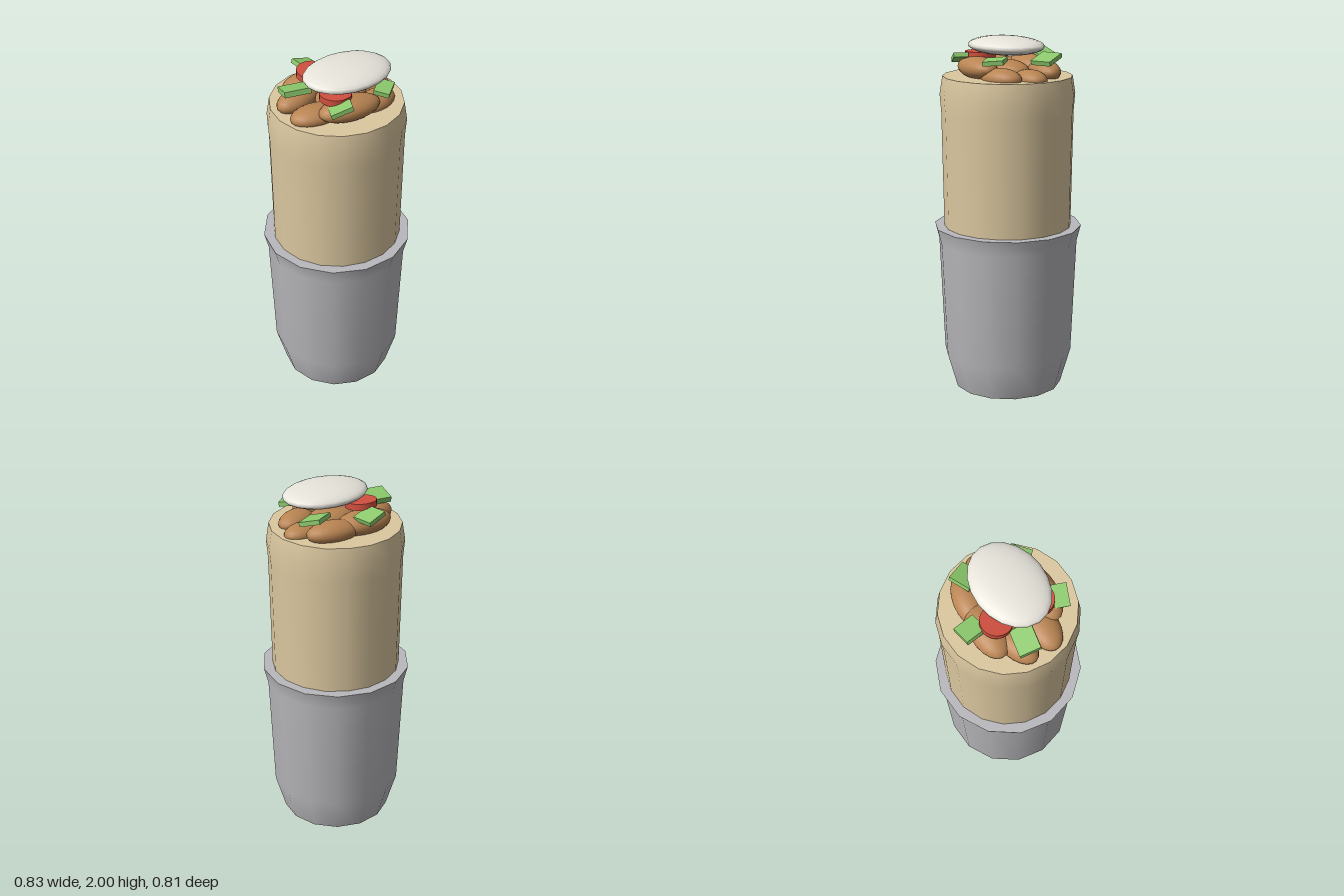
import * as THREE from 'three';

const mat = (name, color) => {
  const m = new THREE.MeshStandardMaterial({ color });
  m.name = name;
  return m;
};

export function createModel() {
  const foil = mat('foil grey', 0xb9b9bd);
  const bread = mat('tortilla beige', 0xdcc8a0);
  const meat = mat('meat brown', 0xb98452);
  const green = mat('lettuce green', 0x8cc96c);
  const red = mat('tomato red', 0xd2503f);
  const cream = mat('sauce white', 0xeae7de);
  const group = new THREE.Group();

  const add = (name, geometry, material, [x, y, z], [rx, ry, rz] = [0, 0, 0]) => {
    const mesh = new THREE.Mesh(geometry, material);
    mesh.name = name;
    mesh.position.set(x, y, z);
    mesh.rotation.set(rx, ry, rz, 'YXZ');
    group.add(mesh);
    return mesh;
  };

  // Turned body with smooth sides and flat, sharp-edged caps
  const turned = (name, profile, sides, material) => {
    const points = profile.map(([r, y]) => new THREE.Vector2(r, y));
    add(name, new THREE.LatheGeometry(points, sides, Math.PI / 2), material, [0, 0, 0]);
    const bottom = profile[0], top = profile[profile.length - 1];
    add(name + 'Top', new THREE.CircleGeometry(top[0], sides), material, [0, top[1], 0], [-Math.PI / 2, 0, 0]);
    add(name + 'Base', new THREE.CircleGeometry(bottom[0], sides), material, [0, bottom[1], 0], [Math.PI / 2, 0, 0]);
  };
  turned('foilWrap', [[0.305, 0], [0.363, 0.2], [0.39, 0.85], [0.413, 0.94]], 14, foil);
  turned('tortilla', [[0.355, 0.85], [0.366, 1.58], [0.374, 1.68], [0.358, 1.78]], 18, bread);

  // Meat pieces: centre, radii, yaw
  const blob = new THREE.SphereGeometry(1, 20, 14);
  [
    [[-0.05, 1.82, -0.165], [0.167, 0.065, 0.093], -0.12],
    [[0.14, 1.81, -0.145], [0.15, 0.06, 0.08], -0.25],
    [[0.22, 1.785, 0], [0.117, 0.05, 0.075], 0],
    [[0.15, 1.79, 0.14], [0.13, 0.055, 0.08], 0.25],
    [[-0.04, 1.83, 0.17], [0.175, 0.062, 0.088], -0.12],
    [[-0.19, 1.795, 0.08], [0.14, 0.055, 0.085], -0.15],
    [[-0.19, 1.805, -0.085], [0.135, 0.06, 0.077], 0.2],
    [[0.02, 1.81, 0.01], [0.15, 0.06, 0.1], 0],
  ].forEach(([p, s, yaw]) => add('meatPiece', blob, meat, p, [0, yaw, 0]).scale.set(...s));

  // Lettuce squares: centre, size, rotation
  [
    [[-0.225, 1.89, -0.057], [0.145, 0.03, 0.115], [-0.22, -0.25, 0]],
    [[-0.132, 1.88, 0.225], [0.12, 0.025, 0.08], [0, -0.42, 0.35]],
    [[-0.022, 1.885, -0.245], [0.115, 0.025, 0.12], [0, 0.06, -0.3]],
    [[0.225, 1.885, -0.1], [0.12, 0.025, 0.125], [0.3, 0.38, 0]],
    [[0.165, 1.885, 0.19], [0.115, 0.025, 0.085], [0.15, 0.69, 0.1]],
  ].forEach(([p, size, r]) => add('lettucePiece', new THREE.BoxGeometry(...size), green, p, r));

  // Tomato slices
  const slice = new THREE.CylinderGeometry(0.085, 0.085, 0.035, 20);
  add('tomatoSlice', slice, red, [-0.07, 1.91, -0.122], [0.08, 0, 0]);
  add('tomatoSlice', slice, red, [-0.09, 1.895, 0.117]);

  // Sauce dollop
  add('sauceDollop', blob, cream, [0.04, 1.95, 0.037]).scale.set(0.25, 0.05, 0.188);
  return group;
}
